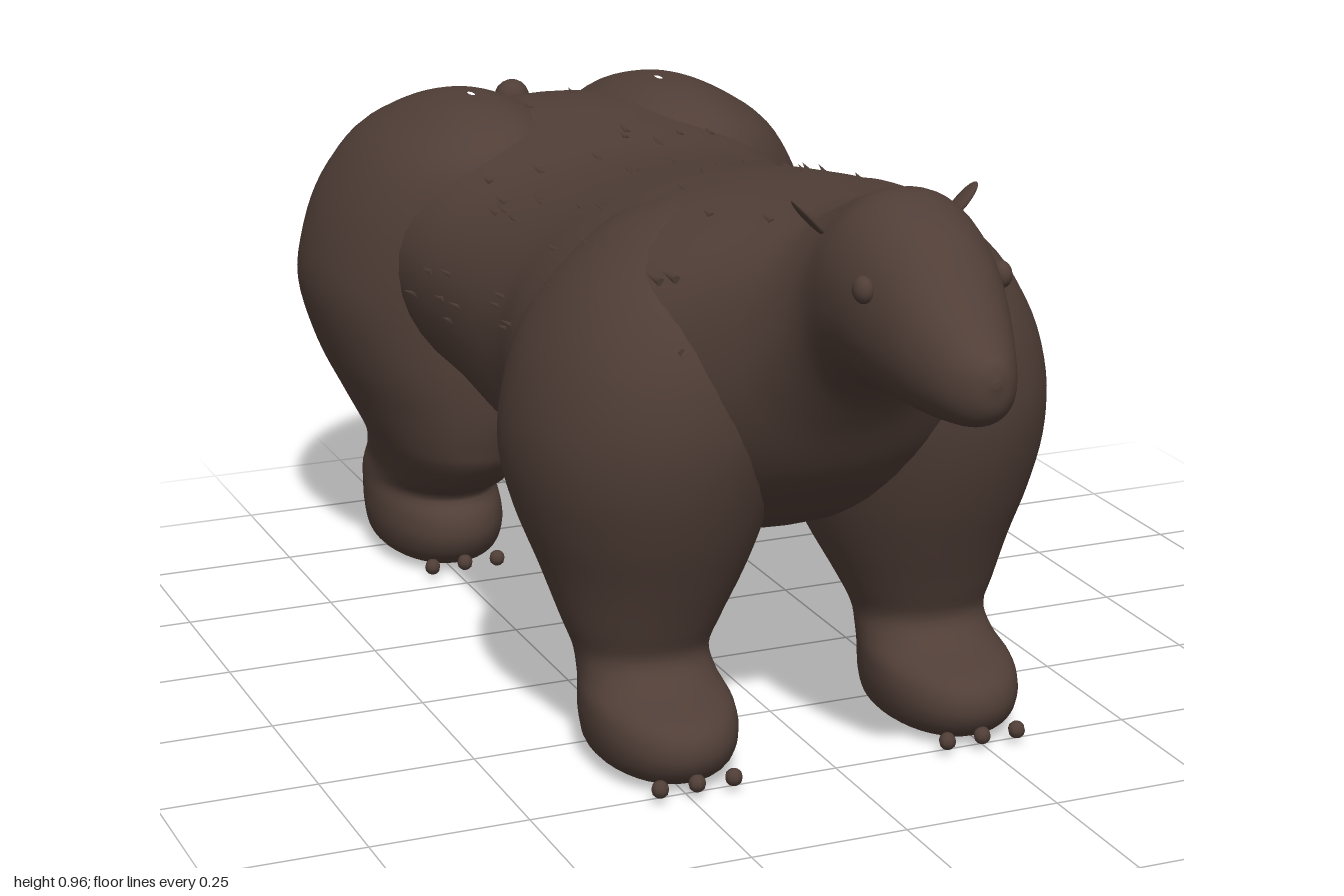
import * as THREE from 'three';
import { mergeGeometries } from 'three/addons/utils/BufferGeometryUtils.js';

const fur = new THREE.MeshStandardMaterial({ color: 0x503e37 });
fur.name = 'brownFur';
const V = (x, y, z) => new THREE.Vector3(x, y, z);

// Smooth skin through oval sections [cx, cy, cz, radiusX, radiusOther].
// The ovals stand upright along z, or lie flat when upAxis is true.
function makeSkin(sections, upAxis, power = 1) {
  const centres = new THREE.CatmullRomCurve3(sections.map(s => V(s[0], s[1], s[2])), false, 'catmullrom', 0.5);
  const radii = new THREE.CatmullRomCurve3(sections.map(s => V(s[3], s[4], 0)), false, 'catmullrom', 0.5);
  const bulge = v => Math.sign(v) * Math.abs(v) ** power;
  return (t, angle) => {
    const c = centres.getPoint(t), r = radii.getPoint(t);
    const a = Math.max(r.x, 0.0005) * bulge(Math.cos(angle));
    const b = Math.max(r.y, 0.0005) * bulge(Math.sin(angle));
    return upAxis ? V(c.x + a, c.y, c.z + b) : V(c.x + a, c.y + b, c.z);
  };
}

function loft(skin, rows, sides) {
  const positions = [], index = [];
  for (let i = 0; i <= rows; i++) {
    for (let j = 0; j < sides; j++) {
      positions.push(...skin(i / rows, j / sides * Math.PI * 2).toArray());
      if (i === rows) continue;
      const a = i * sides + j, b = i * sides + (j + 1) % sides;
      index.push(a, a + sides, b, b, a + sides, b + sides);
    }
  }
  const geometry = new THREE.BufferGeometry();
  geometry.setAttribute('position', new THREE.Float32BufferAttribute(positions, 3));
  geometry.setIndex(index);
  geometry.computeVertexNormals();
  return geometry;
}

// Trunk from nose to rump: [z, top, bottom, half width]
const trunk = [
  [1.0, 0.76, 0.75, 0.005], [0.99, 0.785, 0.71, 0.03], [0.96, 0.805, 0.685, 0.052],
  [0.9, 0.86, 0.675, 0.078], [0.84, 0.915, 0.672, 0.098], [0.77, 0.95, 0.675, 0.115],
  [0.7, 0.963, 0.675, 0.124], [0.63, 0.94, 0.64, 0.13], [0.57, 0.91, 0.57, 0.165],
  [0.5, 0.897, 0.47, 0.235], [0.4, 0.89, 0.38, 0.325], [0.27, 0.882, 0.32, 0.385],
  [0.12, 0.862, 0.295, 0.385], [0, 0.84, 0.3, 0.367], [-0.15, 0.815, 0.312, 0.364],
  [-0.3, 0.803, 0.335, 0.364], [-0.45, 0.815, 0.345, 0.37], [-0.6, 0.825, 0.37, 0.37],
  [-0.75, 0.81, 0.4, 0.32], [-0.87, 0.765, 0.45, 0.22], [-0.935, 0.68, 0.53, 0.09],
  [-0.945, 0.61, 0.6, 0.005],
].map(([z, top, bottom, w]) => [0, (top + bottom) / 2, z, w, (top - bottom) / 2]);

// Legs from sole to top: [y, inner x, outer x, back z, front z]
const foreLeg = [
  [0, 0.23, 0.25, 0.34, 0.36], [0.003, 0.175, 0.305, 0.23, 0.46], [0.025, 0.14, 0.34, 0.203, 0.51],
  [0.065, 0.127, 0.352, 0.195, 0.53], [0.105, 0.127, 0.351, 0.195, 0.51], [0.135, 0.133, 0.343, 0.192, 0.435],
  [0.17, 0.133, 0.343, 0.182, 0.395], [0.22, 0.11, 0.36, 0.15, 0.41], [0.3, 0.07, 0.385, 0.085, 0.445],
  [0.38, 0.04, 0.413, 0.03, 0.48], [0.47, 0.02, 0.432, -0.005, 0.51], [0.56, 0.01, 0.428, 0, 0.525],
  [0.66, 0.01, 0.4, 0.02, 0.515], [0.75, 0.01, 0.345, 0.07, 0.48], [0.82, 0.04, 0.265, 0.13, 0.42],
  [0.855, 0.1, 0.19, 0.22, 0.34], [0.86, 0.14, 0.15, 0.27, 0.28],
];
const hindLeg = [
  [0, 0.23, 0.25, -0.74, -0.72], [0.003, 0.175, 0.305, -0.85, -0.61], [0.025, 0.14, 0.34, -0.885, -0.555],
  [0.065, 0.127, 0.352, -0.9, -0.53], [0.105, 0.127, 0.351, -0.912, -0.535], [0.14, 0.13, 0.346, -0.918, -0.56],
  [0.175, 0.125, 0.346, -0.905, -0.49], [0.225, 0.105, 0.36, -0.872, -0.44], [0.26, 0.085, 0.375, -0.88, -0.425],
  [0.32, 0.045, 0.402, -0.94, -0.41], [0.4, 0.015, 0.437, -0.985, -0.405], [0.5, -0.005, 0.462, -1.0, -0.41],
  [0.59, 0, 0.452, -0.99, -0.41], [0.68, 0.01, 0.42, -0.965, -0.41], [0.76, 0.03, 0.365, -0.915, -0.42],
  [0.81, 0.07, 0.295, -0.83, -0.47], [0.838, 0.13, 0.23, -0.73, -0.56], [0.842, 0.17, 0.18, -0.66, -0.63],
];
const legSections = (rows, side) => rows.map(([y, x0, x1, z0, z1]) =>
  [side * (x0 + x1) / 2, y, (z0 + z1) / 2, (x1 - x0) / 2, (z1 - z0) / 2]);

export function createModel() {
  const model = new THREE.Group();
  model.name = 'bear';
  const add = (name, geometry, x = 0, y = 0, z = 0) => {
    const mesh = new THREE.Mesh(geometry, fur);
    mesh.name = name;
    mesh.position.set(x, y, z);
    model.add(mesh);
    return mesh;
  };

  const trunkSkin = makeSkin(trunk, false, 0.93);
  add('headAndBody', loft(trunkSkin, 110, 48));

  for (const [sideName, side] of [['left', 1], ['right', -1]]) {
    add(sideName + 'ForeLeg', loft(makeSkin(legSections(foreLeg, side), true, 0.95), 64, 36));
    add(sideName + 'HindLeg', loft(makeSkin(legSections(hindLeg, side), true, 0.95), 68, 36));

    // Three small claws in front of each paw
    for (const [paw, z] of [['Fore', 0.522], ['Hind', -0.54]]) {
      for (const x of [0.18, 0.24, 0.3]) {
        add(sideName + paw + 'Claw', new THREE.SphereGeometry(0.014, 8, 6), side * x, 0.024, z);
      }
    }

    add(sideName + 'Eye', new THREE.SphereGeometry(0.02, 14, 10), side * 0.107, 0.85, 0.8).scale.x = 0.75;

    // Thin leaf-shaped ear, tilted outwards
    const ear = add(sideName + 'Ear', new THREE.SphereGeometry(1, 12, 10), side * 0.12, 0.917, 0.645);
    ear.scale.set(0.006, 0.038, 0.018);
    ear.rotation.z = -side * 0.75;
  }

  // Stub tail with a rounded tip
  const tailPath = new THREE.CatmullRomCurve3([V(0, 0.69, -0.87), V(0, 0.735, -0.92), V(0, 0.765, -0.925)]);
  add('tail', new THREE.TubeGeometry(tailPath, 10, 0.03, 12));
  add('tailTip', new THREE.SphereGeometry(0.032, 14, 10), 0, 0.765, -0.925);

  // Sparse tufts lying backwards along the back and flanks
  let seed = 7;
  const random = () => (seed = (seed * 16807) % 2147483647) / 2147483647;
  const tufts = [];
  for (let i = 0; i < 110; i++) {
    const t = 0.44 + random() * 0.42, angle = -0.2 + random() * (Math.PI + 0.4);
    const root = trunkSkin(t, angle);
    const lean = V(Math.cos(angle) * 0.25, Math.sin(angle) * 0.25, -1).normalize();
    const tuft = new THREE.ConeGeometry(0.007, 0.03 + random() * 0.02, 5);
    tuft.applyQuaternion(new THREE.Quaternion().setFromUnitVectors(V(0, 1, 0), lean));
    tufts.push(tuft.translate(root.x, root.y, root.z));
  }
  add('furTufts', mergeGeometries(tufts));

  return model;
}
